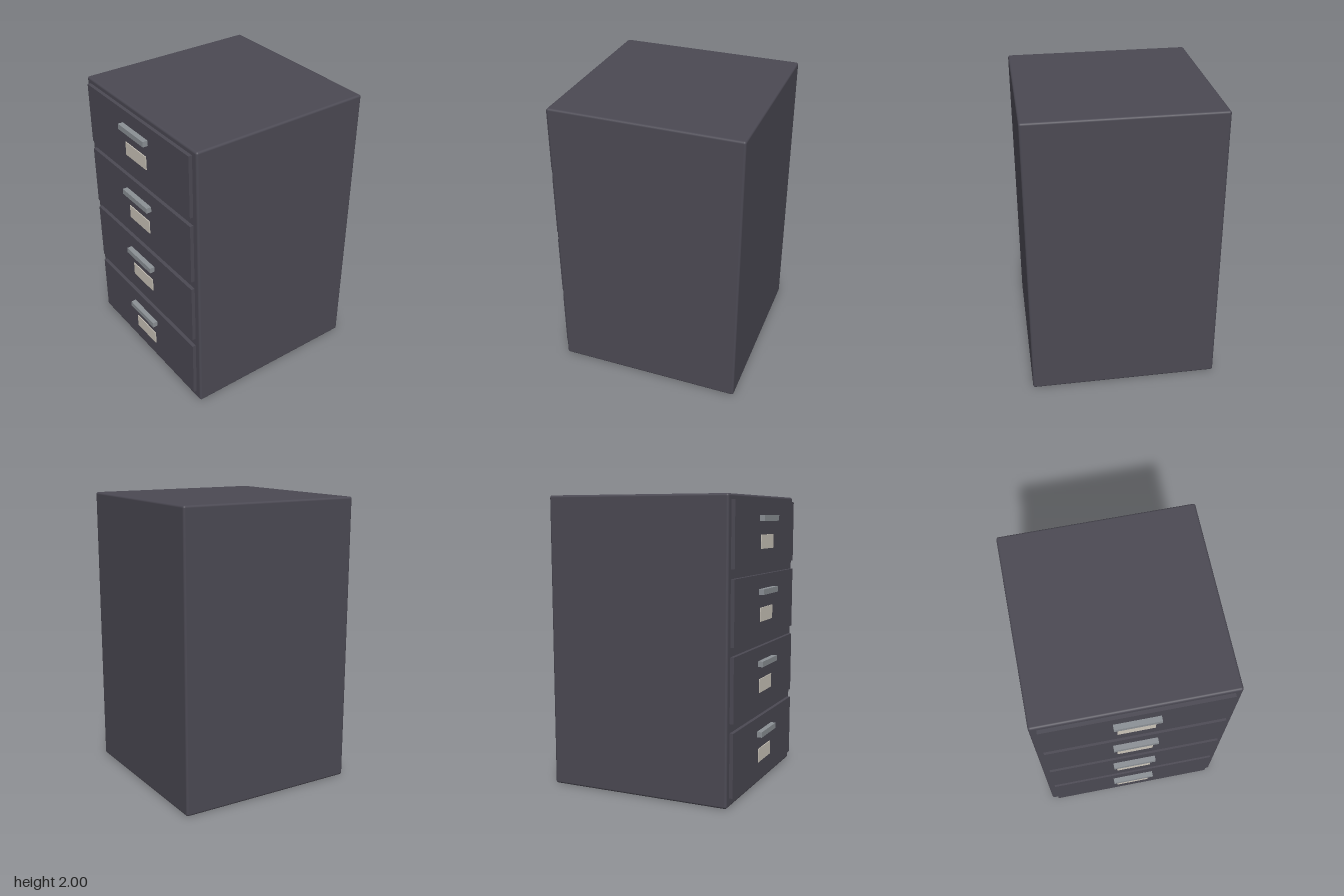
import * as THREE from 'three';
import { RoundedBoxGeometry } from 'three/addons/geometries/RoundedBoxGeometry.js';

const paint = new THREE.MeshStandardMaterial({ color: 0x4b4953 });
const metal = new THREE.MeshStandardMaterial({ color: 0x8b9095 });
const card = new THREE.MeshStandardMaterial({ color: 0xcbc5ba });

const BODY_BACK = -0.677, BODY_FRONT = 0.616, DRAWER_FRONT = 0.641;

function part(name, geometry, material, x, y, z) {
  const mesh = new THREE.Mesh(geometry, material);
  mesh.name = name;
  mesh.position.set(x, y, z);
  return mesh;
}

// Box spanning z0..z1, centred on x = 0 at height y
function slab(name, w, h, y, z0, z1, material) {
  return part(name, new THREE.BoxGeometry(w, h, z1 - z0), material, 0, y, (z0 + z1) / 2);
}

function makeDrawer() {
  const drawer = new THREE.Group();
  drawer.name = 'drawer';
  drawer.add(
    slab('drawerFront', 1.2, 0.43, 0, BODY_FRONT - 0.01, DRAWER_FRONT, paint),
    slab('handle', 0.3, 0.038, 0.1, DRAWER_FRONT - 0.002, 0.677, metal),
    slab('labelCard', 0.244, 0.095, -0.057, DRAWER_FRONT - 0.002, 0.647, card)
  );
  return drawer;
}

export function createModel() {
  const cabinet = new THREE.Group();
  cabinet.name = 'filingCabinet';

  // Cabinet shell with slightly softened edges
  const depth = BODY_FRONT - BODY_BACK;
  cabinet.add(part('body', new RoundedBoxGeometry(1.294, 2, depth, 3, 0.015), paint,
    0, 1, (BODY_FRONT + BODY_BACK) / 2));

  // Four identical drawers, bottom to top
  for (let i = 0; i < 4; i++) {
    const drawer = makeDrawer();
    drawer.position.y = 0.277 + i * 0.491;
    cabinet.add(drawer);
  }
  return cabinet;
}
